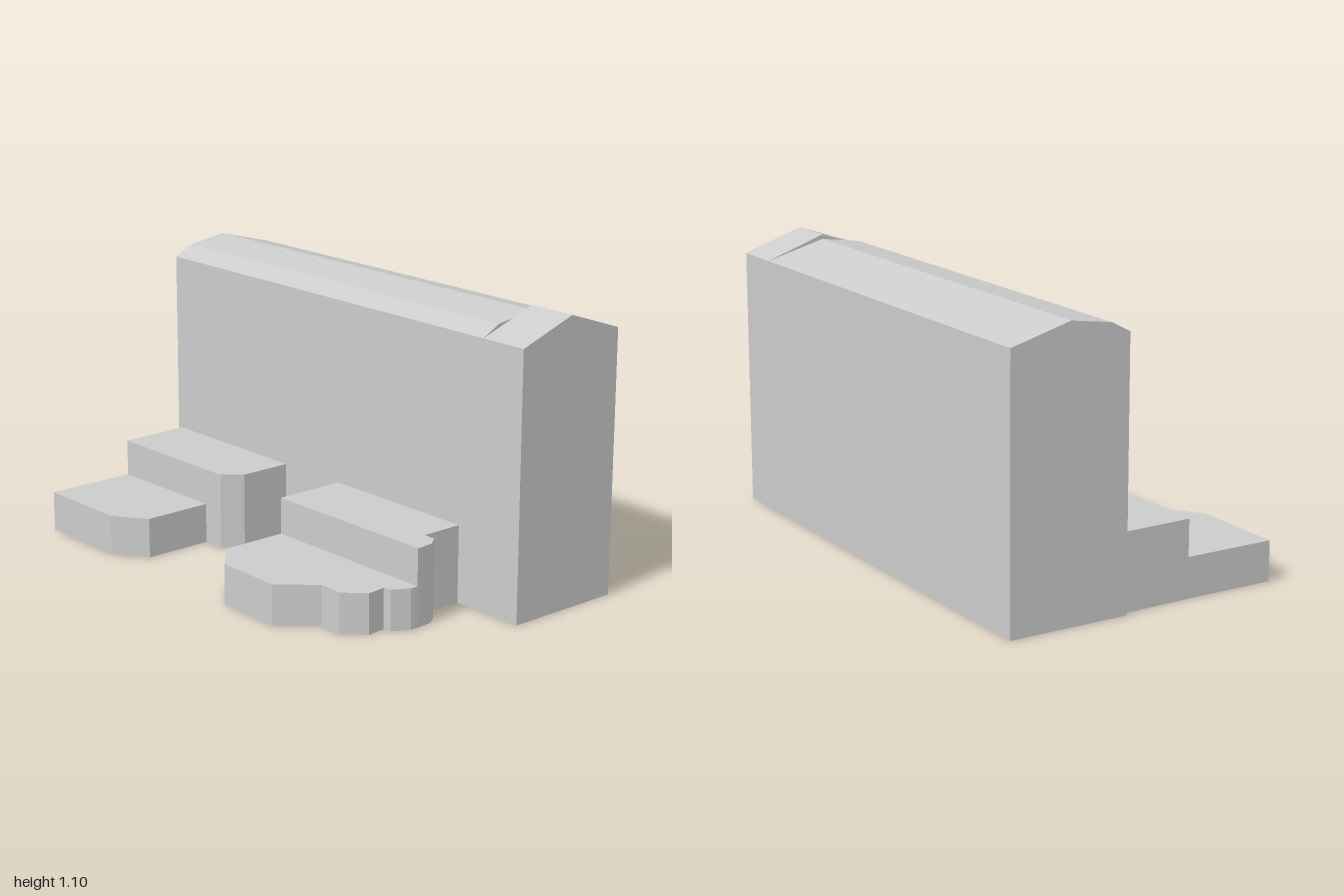
import * as THREE from 'three';

const material = new THREE.MeshStandardMaterial({ color: 0xcccccc, flatShading: true });

function shapeOf(points) {
  return new THREE.Shape(points.map(([x, y]) => new THREE.Vector2(x, y)));
}

function addMesh(parent, name, geometry) {
  const mesh = new THREE.Mesh(geometry, material);
  mesh.name = name;
  parent.add(mesh);
}

// Footprint given as [x, z], raised from the ground to a flat top
function slab(footprint, height) {
  const shape = shapeOf(footprint.map(([x, z]) => [x, -z]));
  return new THREE.ExtrudeGeometry(shape, { depth: height, bevelEnabled: false }).rotateX(-Math.PI / 2);
}

// Cross-section given as [z, y], swept along x from x0 to x1
function section(profile, x0, x1) {
  return new THREE.ExtrudeGeometry(shapeOf(profile), { depth: x1 - x0, bevelEnabled: false })
    .rotateY(-Math.PI / 2)
    .translate(x1, 0, 0);
}

export function createModel() {
  const model = new THREE.Group();
  model.name = 'building';

  // Long block, turned slightly on its plot
  const hall = new THREE.Group();
  hall.name = 'mainBlock';
  hall.position.set(0.002, 0, -0.325);
  hall.rotation.y = 0.077;
  model.add(hall);

  const half = 0.985, d = 0.241, eave = 1.02, split = 0.788;
  const walls = [[-d, eave], [-d, 0], [d, 0], [d, eave]];
  addMesh(hall, 'hallWithBrokenRoof', section([...walls, [0.165, 1.06], [0, 1.085]], -half, split));
  addMesh(hall, 'endBayWithGable', section([...walls, [0, 1.103]], split, half));

  // Stepped annexes along the front
  const high = 0.3, low = 0.157;
  addMesh(model, 'rightAnnexUpper', slab([
    [-0.945, -0.06], [-0.912, 0.275], [-0.31, 0.225], [-0.255, 0.15], [-0.277, -0.12],
  ], high));
  addMesh(model, 'rightAnnexLower', slab([
    [-0.912, 0.27], [-0.885, 0.64], [-0.5, 0.61], [-0.38, 0.51], [-0.403, 0.22],
  ], low));
  addMesh(model, 'leftAnnexUpper', slab([
    [0.035, -0.14], [0.06, 0.2], [0.81, 0.14], [0.8, 0.07], [0.765, 0.03], [0.713, 0.03], [0.697, -0.19],
  ], high));
  addMesh(model, 'leftAnnexLower', slab([
    [0.06, 0.195], [0.078, 0.455], [0.21, 0.56], [0.49, 0.545], [0.595, 0.405], [0.695, 0.4],
    [0.763, 0.32], [0.75, 0.245], [0.78, 0.237], [0.812, 0.17], [0.81, 0.135],
  ], low));

  return model;
}
